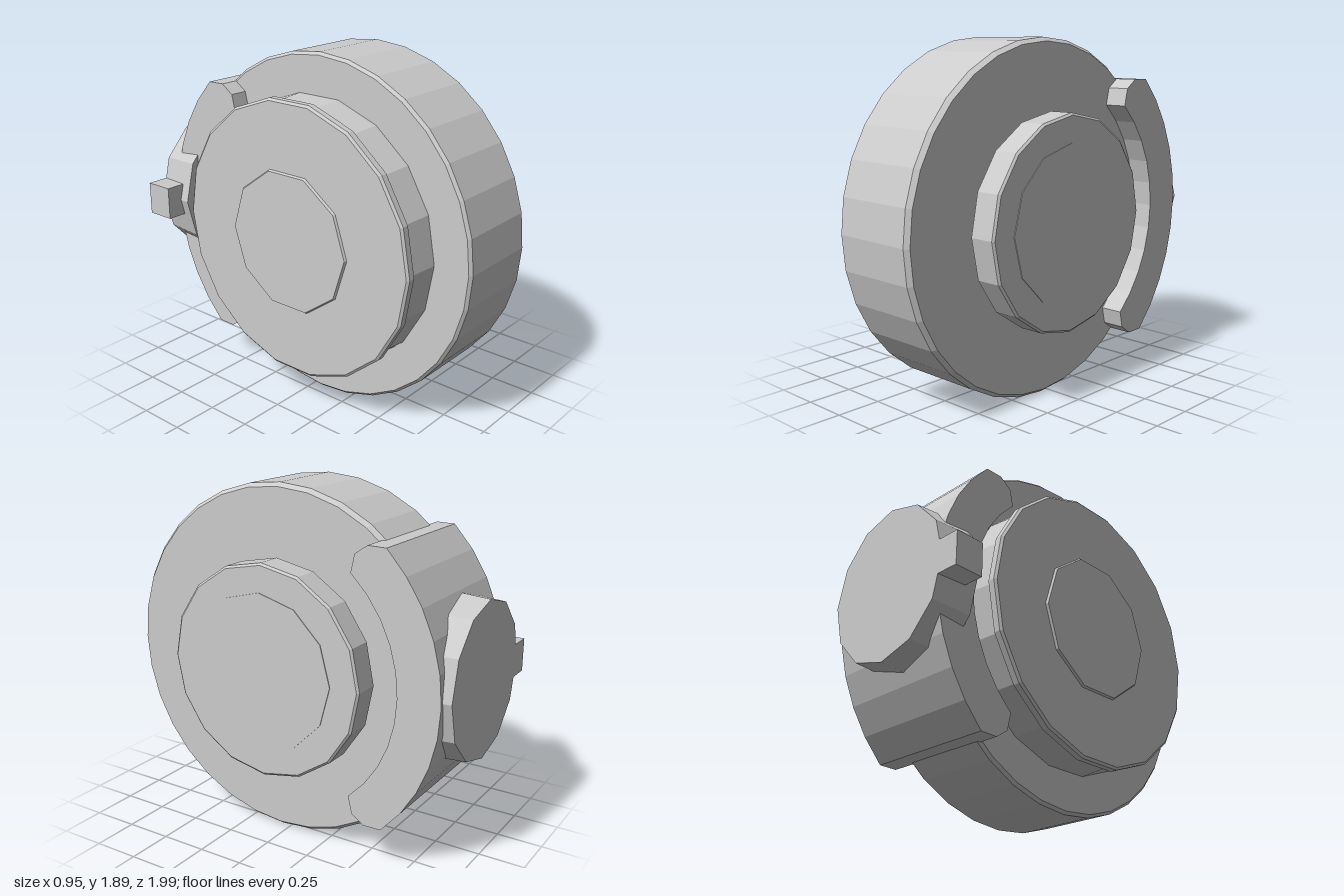
import * as THREE from 'three';

const CY = 0.945, CZ = 0.05; // main axle position (axle runs along x)

export function createModel() {
  const group = new THREE.Group();
  const material = new THREE.MeshStandardMaterial({ color: 0xcccccc, flatShading: true });

  const add = (name, geometry, x = 0, y = 0, z = 0) => {
    const mesh = new THREE.Mesh(geometry, material);
    mesh.name = name;
    mesh.position.set(x, y, z);
    group.add(mesh);
  };

  // Turned part on the axle: profile is [radius, x] pairs running from -x to +x
  const turned = (name, profile, sides, z = CZ) => {
    const points = profile.map(([r, x]) => new THREE.Vector2(r, x));
    add(name, new THREE.LatheGeometry(points, sides).rotateZ(-Math.PI / 2), 0, CY, z);
  };

  // Wide wheel body with slightly eased edges
  turned('mainDrum', [[0, -0.2], [0.93, -0.2], [0.945, -0.185], [0.945, 0.275], [0.925, 0.3], [0, 0.3]], 32);

  // Stepped hub on the left side
  turned('hub', [[0, 0.29], [0.54, 0.29], [0.54, 0.32], [0.572, 0.325], [0.572, 0.46], [0.56, 0.47], [0, 0.47]], 16, 0.04);
  turned('hubCap', [[0, 0.46], [0.42, 0.46], [0.42, 0.474], [0, 0.474]], 12, 0.05);

  // Smaller drum and its rim plate on the right side
  turned('sideDrum', [[0, -0.39], [0.72, -0.39], [0.735, -0.19], [0, -0.19]], 18);
  turned('sidePlate', [[0, -0.43], [0.735, -0.43], [0.748, -0.42], [0.748, -0.385], [0, -0.385]], 18);
  turned('sideCap', [[0, -0.442], [0.38, -0.442], [0.39, -0.425], [0, -0.425]], 10, 0.04);

  // Curved saddle hugging the back of the wheel, with rounded ends
  const outline = [];
  const polar = (r, deg) => {
    const a = THREE.MathUtils.degToRad(deg);
    outline.push(new THREE.Vector2(r * Math.cos(a), r * Math.sin(a)));
  };
  for (let i = 0; i <= 10; i++) polar(0.995, -46 + 9.2 * i);
  polar(0.93, 50.5);
  polar(0.85, 52);
  for (let i = 0; i <= 10; i++) polar(0.765, 49 - 9.8 * i);
  polar(0.85, -52);
  polar(0.93, -50.5);
  const saddle = new THREE.ExtrudeGeometry(new THREE.Shape(outline), { depth: 0.725, bevelEnabled: false });
  add('saddle', saddle.rotateY(Math.PI / 2), -0.3, CY, CZ);

  // Round knob on the back of the saddle with its small side tab
  const knob = new THREE.CylinderGeometry(0.43, 0.415, 0.22, 12).rotateX(Math.PI / 2);
  add('knob', knob.scale(0.95, 1, 1), 0.013, 0.965, -0.88);
  add('knobTab', new THREE.BoxGeometry(0.14, 0.18, 0.16), -0.41, 0.965, -0.91);

  // Solid backing between knob and saddle
  add('knobMount', new THREE.BoxGeometry(0.5, 0.5, 0.15), 0.02, 0.965, -0.86);

  return group;
}
